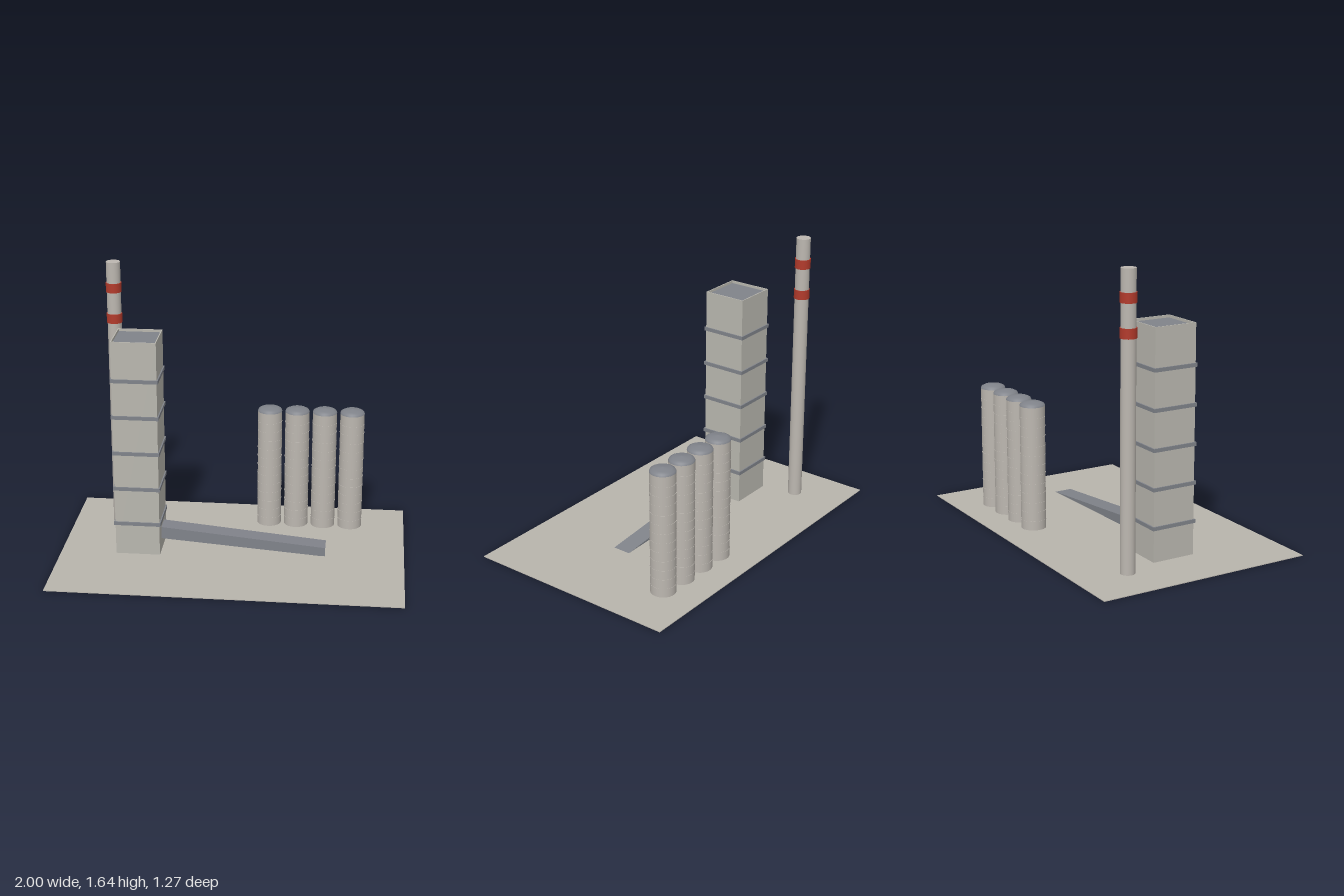
import * as THREE from 'three';

function material(name, color, side = THREE.FrontSide) {
  const m = new THREE.MeshStandardMaterial({ color, side });
  m.name = name;
  return m;
}

export function createModel() {
  const root = new THREE.Group();
  root.name = 'industrialPlant';

  const ground = material('groundConcrete', 0xb8b4ac);
  const concrete = material('towerConcrete', 0xb9b7af);
  const pale = material('paleConcrete', 0xbcb7b0);
  const steel = material('greySteel', 0x80838a);
  const red = material('warningRed', 0xb23a2b);

  function add(parent, name, geometry, mat, x = 0, y = 0, z = 0) {
    const mesh = new THREE.Mesh(geometry, mat);
    mesh.name = name;
    mesh.position.set(x, y, z);
    parent.add(mesh);
    return mesh;
  }
  function group(name, x, z) {
    const g = new THREE.Group();
    g.name = name;
    g.position.set(x, 0, z);
    root.add(g);
    return g;
  }

  // Thin ground slab
  add(root, 'groundSlab', new THREE.BoxGeometry(2, 0.004, 1.27), ground, 0, 0.002, 0);

  // Square tower with a parapet, sunken roof and floor bands
  const tower = group('tower', -0.547, 0);
  const w = 0.257;
  const roofY = 1.285;
  add(tower, 'towerBody', new THREE.BoxGeometry(w, roofY - 0.004, w), concrete, 0, (roofY - 0.004) / 2, 0);
  add(tower, 'roof', new THREE.BoxGeometry(w - 0.012, 0.004, w - 0.012), steel, 0, roofY - 0.002, 0);
  const rim = 0.006;
  for (const s of [-1, 1]) {
    const c = s * (w - rim) / 2;
    add(tower, 'parapetSide', new THREE.BoxGeometry(rim, 0.019, w), concrete, c, 1.2905, 0);
    add(tower, 'parapetEnd', new THREE.BoxGeometry(w - rim * 2, 0.019, rim), concrete, 0, 1.2905, c);
  }
  for (let i = 0; i < 5; i++) {
    add(tower, 'floorBand', new THREE.BoxGeometry(0.272, 0.021, 0.272), steel, 0, 0.197 + i * 0.2185, 0);
  }

  // Chimney with two warning bands
  const chimney = group('chimney', -0.73, -0.328);
  add(chimney, 'chimneyShaft', new THREE.CylinderGeometry(0.041, 0.041, 1.638, 32), pale, 0, 0.819, 0);
  for (const y of [1.303, 1.487]) {
    add(chimney, 'warningBand', new THREE.CylinderGeometry(0.0455, 0.0455, 0.055, 32), red, 0, y, 0);
  }

  // Row of ribbed silos with low domed caps
  const capProfile = [[0.073, 0.73], [0.068, 0.741], [0.05, 0.75], [0, 0.756]]
    .map(([r, y]) => new THREE.Vector2(r, y));
  for (let i = 0; i < 4; i++) {
    const silo = group('silo', 0.18 + i * 0.1635, -0.4);
    add(silo, 'siloBody', new THREE.CylinderGeometry(0.072, 0.072, 0.73, 32), pale, 0, 0.365, 0);
    for (let k = 1; k <= 12; k++) {
      add(silo, 'siloRib', new THREE.CylinderGeometry(0.0732, 0.0732, 0.004, 32), pale, 0, k * 0.0555, 0);
    }
    add(silo, 'siloCap', new THREE.LatheGeometry(capProfile, 32), steel);
  }

  // Sloping conveyor cover: sloped top, front wall, tapering back wall, open lower end
  const d = 0.053;
  const [x0, x1] = [-0.42, 0.542];
  const topHigh = [x0, 0.147], topLow = [x1, 0.056], footHigh = [x0, 0.075], footLow = [x1, 0.002];
  const at = ([x, y], z) => [x, y, z];
  const corners = [
    // front wall
    at(footHigh, d), at(footLow, d), at(topLow, d),
    at(footHigh, d), at(topLow, d), at(topHigh, d),
    // top
    at(topHigh, d), at(topLow, d), at(topLow, -d),
    at(topHigh, d), at(topLow, -d), at(topHigh, -d),
    // back wall
    at(topHigh, -d), at(topLow, -d), at(footHigh, -d),
  ];
  const cover = new THREE.BufferGeometry();
  cover.setAttribute('position', new THREE.Float32BufferAttribute(corners.flat(), 3));
  cover.computeVertexNormals();
  add(root, 'conveyorCover', cover, steel);

  return root;
}
